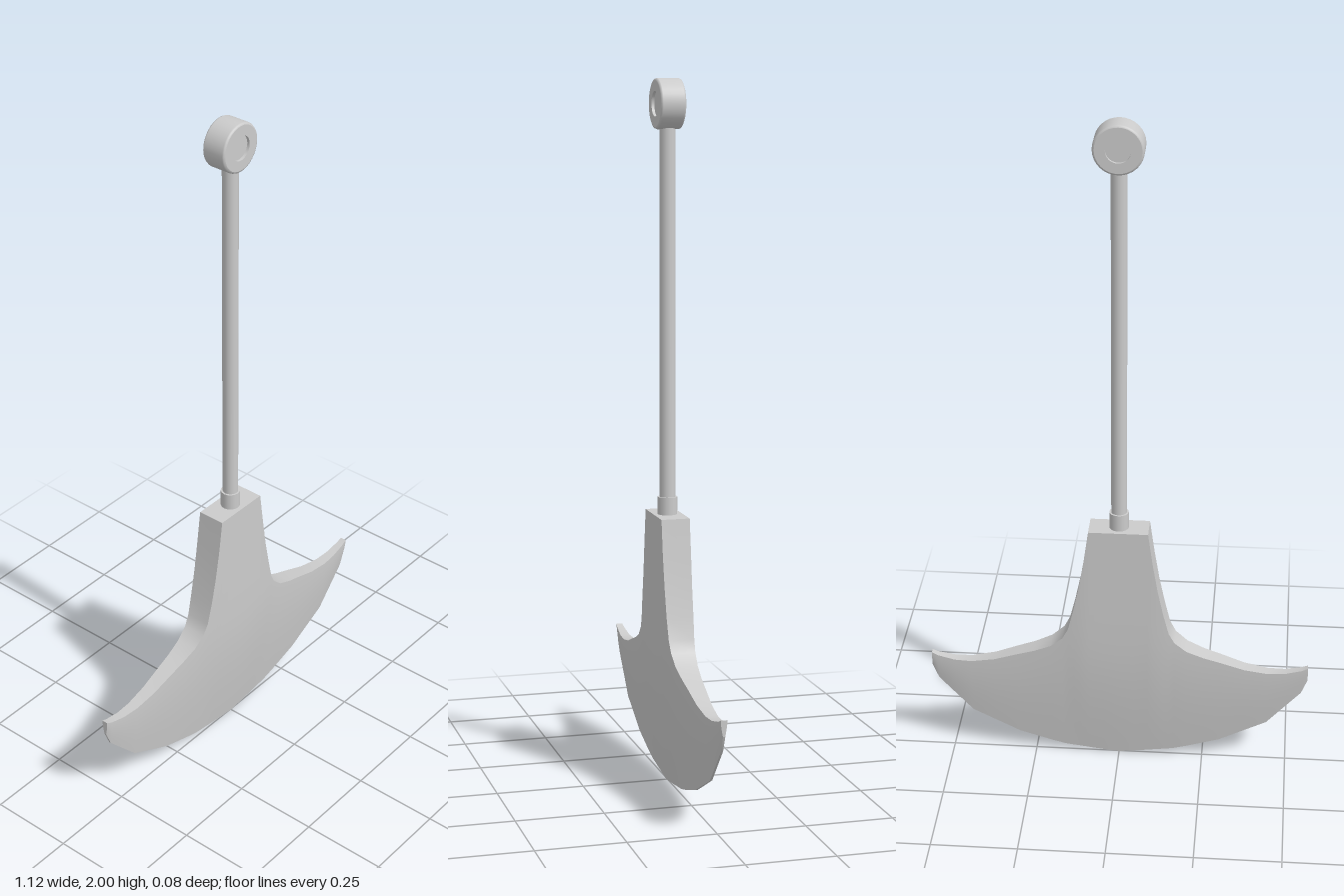
import * as THREE from 'three';
import { mergeGeometries } from 'three/addons/utils/BufferGeometryUtils.js';

const grey = new THREE.MeshStandardMaterial({ color: 0xcccccc });

function part(name, geometry, y = 0) {
  const mesh = new THREE.Mesh(geometry, grey);
  mesh.name = name;
  mesh.position.y = y;
  return mesh;
}

// Smooth sheet through columns of points (columns left to right, points bottom to top)
function sheet(columns) {
  const n = columns[0].length;
  const index = [];
  for (let i = 0; i < columns.length - 1; i++) {
    for (let j = 0; j < n - 1; j++) {
      const a = i * n + j, b = a + n;
      index.push(a, b, b + 1, a, b + 1, a + 1);
    }
  }
  const g = new THREE.BufferGeometry();
  g.setAttribute('position', new THREE.Float32BufferAttribute(columns.flat(2), 3));
  g.setIndex(index);
  g.computeVertexNormals();
  return g;
}

// Half of the blade outline: x, upper edge, lower edge, half thickness
const half = [
  [0, 0.78, 0, 0.041], [0.045, 0.78, 0.005, 0.041], [0.086, 0.78, 0.01, 0.041],
  [0.1, 0.68, 0.012, 0.041], [0.115, 0.59, 0.014, 0.04], [0.132, 0.51, 0.016, 0.039],
  [0.148, 0.447, 0.018, 0.037], [0.165, 0.415, 0.021, 0.035], [0.2, 0.385, 0.03, 0.032],
  [0.25, 0.363, 0.045, 0.028], [0.3, 0.347, 0.06, 0.025], [0.37, 0.323, 0.095, 0.021],
  [0.44, 0.31, 0.13, 0.017], [0.49, 0.311, 0.185, 0.014], [0.54, 0.322, 0.24, 0.011],
  [0.558, 0.33, 0.285, 0.009],
];

function bladeGeometry() {
  const outline = [...half.slice(1).reverse().map(([x, ...r]) => [-x, ...r]), ...half];
  const rows = 16;
  // The body is thick above and curves in to a cutting edge below
  const column = ([x, top, bottom, t], side) => Array.from({ length: rows + 1 }, (_, j) => {
    const y = bottom + (top - bottom) * Math.pow(j / rows, 1.3);
    const s = Math.min(1, (y - bottom) / Math.min(top - bottom, 0.42));
    return [x, y, side * (0.003 + (t - 0.003) * Math.sin(s * Math.PI / 2))];
  });
  const front = outline.map(o => column(o, 1));
  const back = outline.map(o => column(o, -1));
  const last = outline.length - 1;
  const upper = front.map((c, i) => [c[rows], back[i][rows]]);
  const lower = front.map((c, i) => [back[i][0], c[0]]);
  const mid = half.length - 1;
  return mergeGeometries([
    sheet(front),
    sheet([...back].reverse()),
    sheet(upper.slice(0, mid - 1)),           // one flank
    sheet(upper.slice(mid - 2, mid + 3)),     // flat neck top
    sheet(upper.slice(mid + 2)),              // other flank
    sheet(lower),
    sheet([front[last], back[last]]),         // tips
    sheet([back[0], front[0]]),
  ]);
}

// Pivot eye with softened rim and a shallow round recess on both faces
function eyeGeometry() {
  const R = 0.07, r = 0.035, w = 0.036, d = 0.028, b = 0.006;
  const profile = [
    [0, -d], [r, -d], [r, -w], [R - b, -w], [R - b * 0.3, -w + b * 0.3], [R, -w + b],
    [R, w - b], [R - b * 0.3, w - b * 0.3], [R - b, w], [r, w], [r, d], [0, d],
  ];
  // Separate bands keep the recess edges sharp
  const bands = [[0, 2], [1, 3], [2, 4], [3, 9], [8, 10], [9, 11], [10, 12]];
  return mergeGeometries(bands.map(([from, to]) => new THREE.LatheGeometry(
    profile.slice(from, to).map(p => new THREE.Vector2(...p)), 32))).rotateX(Math.PI / 2);
}

export function createModel() {
  const model = new THREE.Group();
  model.name = 'pendulumBlade';
  model.add(
    part('blade', bladeGeometry()),
    part('collar', new THREE.CylinderGeometry(0.028, 0.028, 0.05, 16), 0.805),
    part('rod', new THREE.CylinderGeometry(0.0225, 0.0225, 1.06, 16), 1.35),
    part('pivotEye', eyeGeometry(), 1.93),
  );
  return model;
}
